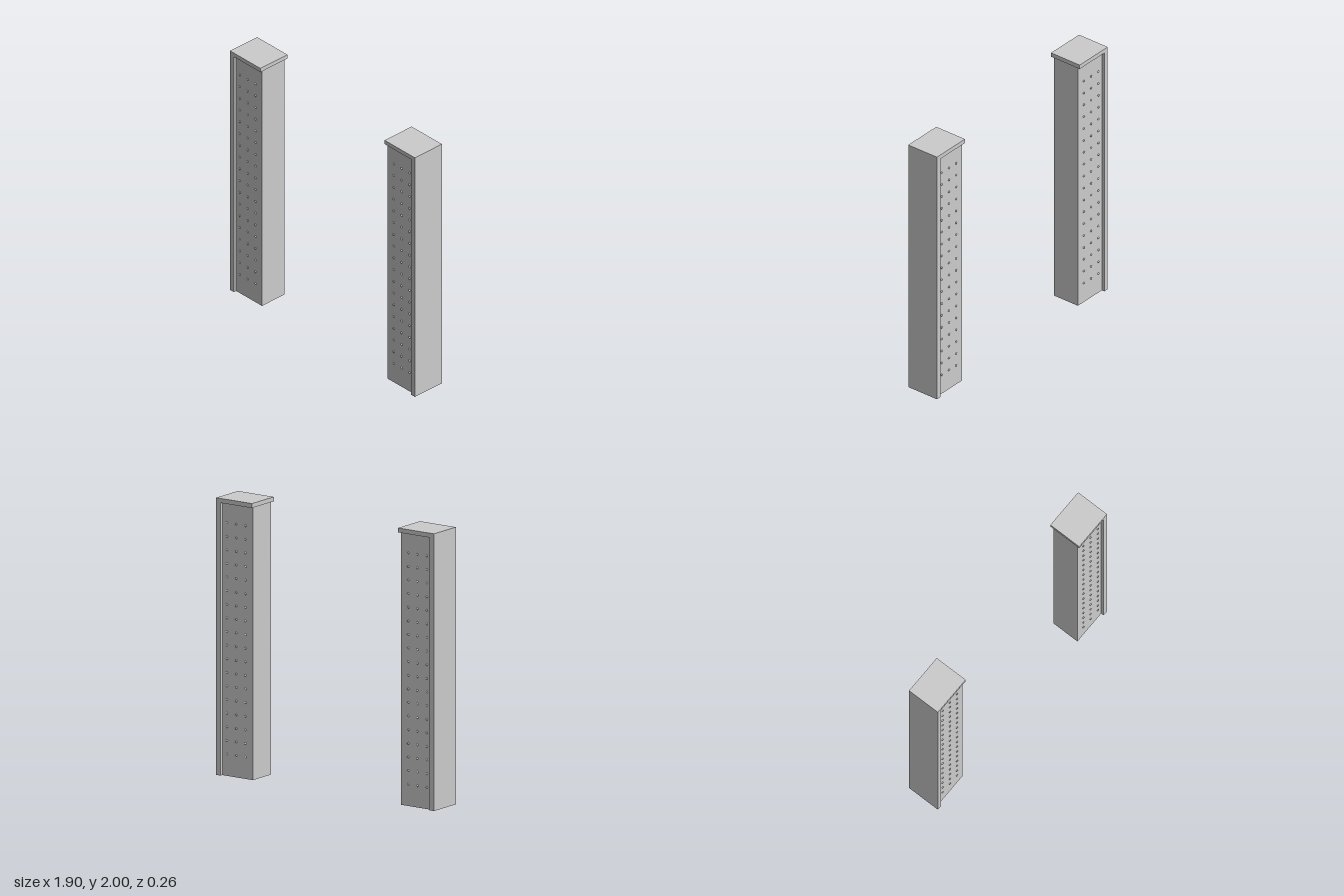
import * as THREE from 'three';

const HALF_DEPTH = 0.13; // outer plate and cap
const CORE_HALF = 0.108; // recessed core face
const ROWS = 18;

export function createModel() {
  const model = new THREE.Group();
  model.name = 'pillarPair';
  const material = new THREE.MeshStandardMaterial({ color: 0xcccccc });

  // Box spanning x0..x1 and y0..y1, centred in z
  const block = (parent, name, x0, x1, y0, y1, halfDepth) => {
    const mesh = new THREE.Mesh(new THREE.BoxGeometry(x1 - x0, y1 - y0, halfDepth * 2), material);
    mesh.position.set((x0 + x1) / 2, (y0 + y1) / 2, 0);
    mesh.name = name;
    parent.add(mesh);
  };

  // Domed rivet head, its flat side on the core face
  const rivetGeometry = new THREE.SphereGeometry(0.008, 12, 5, 0, Math.PI * 2, 0, Math.PI / 2);
  rivetGeometry.rotateX(Math.PI / 2);

  for (const side of [-1, 1]) {
    const pillar = new THREE.Group();
    pillar.name = side > 0 ? 'leftPillar' : 'rightPillar';
    const span = (name, inner, outer, y0, y1, halfDepth) =>
      block(pillar, name, Math.min(side * inner, side * outer), Math.max(side * inner, side * outer), y0, y1, halfDepth);

    span('core', 0.645, 0.912, 0, 1.968, CORE_HALF);
    span('outerPlate', 0.912, 0.95, 0, 1.968, HALF_DEPTH);
    span('cap', 0.638, 0.95, 1.968, 2, HALF_DEPTH);

    // Three columns of rivets on the front and back faces
    const rivets = new THREE.Group();
    rivets.name = 'rivets';
    for (const face of [1, -1]) {
      for (const x of [0.71, 0.79, 0.872]) {
        for (let row = 0; row < ROWS; row++) {
          const rivet = new THREE.Mesh(rivetGeometry, material);
          rivet.name = 'rivet';
          rivet.position.set(side * x, 0.157 + row * 0.0982, face * CORE_HALF);
          if (face < 0) rivet.rotation.y = Math.PI;
          rivets.add(rivet);
        }
      }
    }
    pillar.add(rivets);
    model.add(pillar);
  }
  return model;
}
